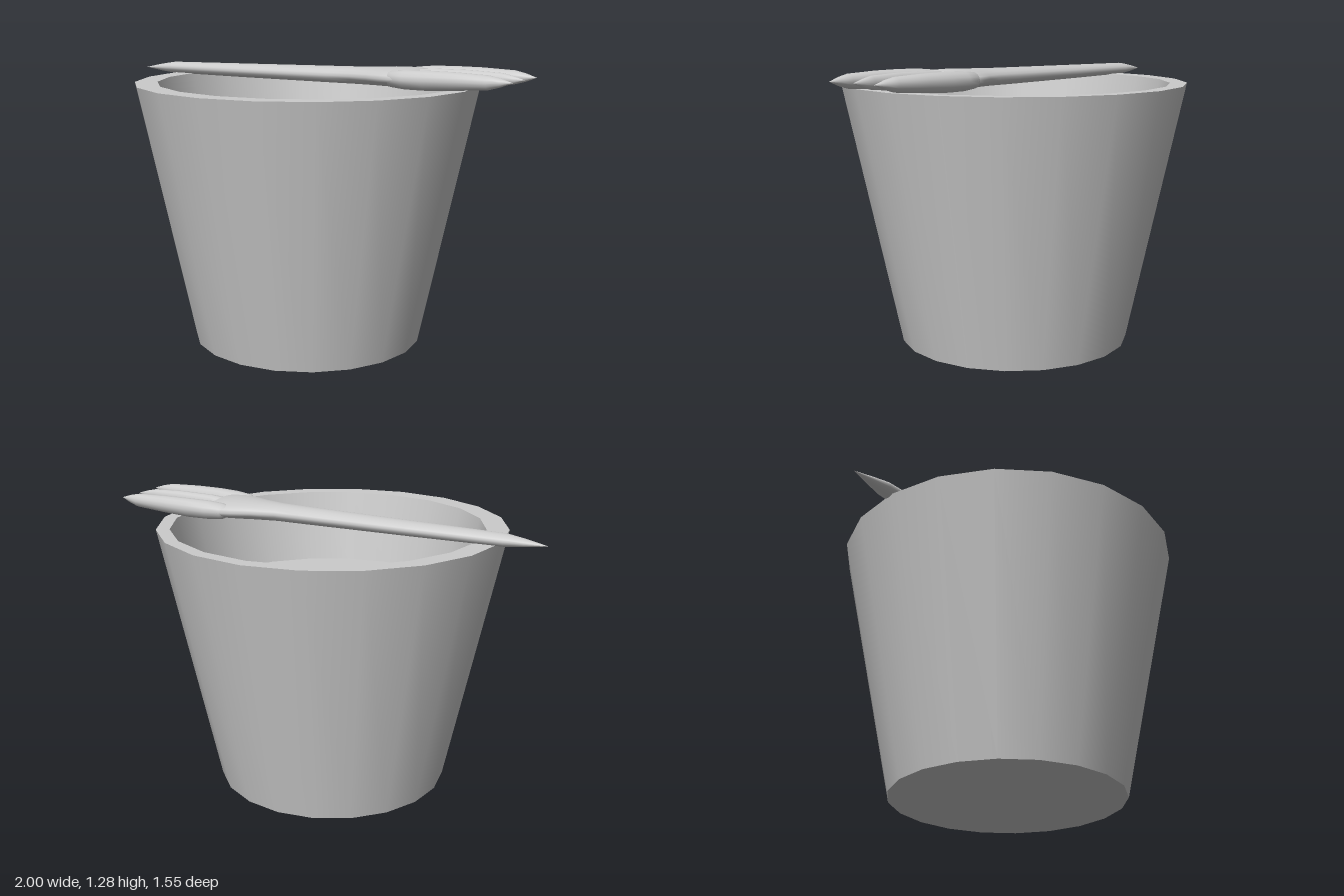
import * as THREE from 'three';

const material = new THREE.MeshStandardMaterial({ color: 0xcccccc });
const SIDES = 20;

function mesh(name, geometry, parent) {
  const m = new THREE.Mesh(geometry, material);
  m.name = name;
  parent.add(m);
  return m;
}

// Regular polygon outline, lying in the xy plane
function polygon(r, cx, cy) {
  return Array.from({ length: SIDES }, (_, i) => {
    const a = (i / SIDES) * Math.PI * 2;
    return new THREE.Vector2(cx + r * Math.cos(a), cy + r * Math.sin(a));
  });
}

// Smooth wall between two radii, facing outward when listed upward
function wall(r0, y0, r1, y1) {
  return new THREE.LatheGeometry([new THREE.Vector2(r0, y0), new THREE.Vector2(r1, y1)], SIDES);
}

// Rounded bar along x through elliptical sections [x, y, z, halfHeight, halfWidth]
function loft(sections, sides = 14) {
  const pos = [], index = [];
  sections.forEach(([x, y, z, hy, hz], i) => {
    for (let j = 0; j < sides; j++) {
      const a = (j / sides) * Math.PI * 2;
      pos.push(x, y + hy * Math.sin(a), z + hz * Math.cos(a));
      if (i === sections.length - 1) continue;
      const p = i * sides + j, q = i * sides + ((j + 1) % sides);
      index.push(p, p + sides, q, q, p + sides, q + sides);
    }
  });
  const g = new THREE.BufferGeometry();
  g.setAttribute('position', new THREE.Float32BufferAttribute(pos, 3));
  g.setIndex(index);
  g.computeVertexNormals();
  return g;
}

function createCup() {
  const cup = new THREE.Group();
  cup.name = 'cup';
  const H = 1.19, FLOOR = 0.86, OX = -0.015, IZ = -0.015;

  mesh('outerWall', wall(0.527, 0, 0.777, H), cup).position.x = OX;
  mesh('innerWall', wall(0.697, H, 0.63, FLOOR), cup).position.z = IZ;

  // Flat rim, with the opening slightly off centre
  const rim = new THREE.Shape(polygon(0.777, OX, 0));
  rim.holes.push(new THREE.Path(polygon(0.697, 0, -IZ)));
  mesh('rim', new THREE.ShapeGeometry(rim).rotateX(-Math.PI / 2), cup).position.y = H;

  // Surface inside and base underneath
  mesh('innerFloor', new THREE.CircleGeometry(0.63, SIDES).rotateX(-Math.PI / 2), cup)
    .position.set(0, FLOOR, IZ);
  mesh('base', new THREE.CircleGeometry(0.527, SIDES).rotateX(Math.PI / 2), cup).position.x = OX;
  return cup;
}

function createFork() {
  const fork = new THREE.Group();
  fork.name = 'fork';

  // Handle flaring into the head
  mesh('handleAndHead', loft([
    [-1, 1.205, -0.017, 0, 0],
    [-0.9, 1.209, -0.02, 0.017, 0.024],
    [-0.82, 1.212, -0.022, 0.027, 0.042],
    [-0.4, 1.217, -0.032, 0.032, 0.055],
    [0.1, 1.224, -0.044, 0.037, 0.069],
    [0.22, 1.226, -0.046, 0.038, 0.073],
    [0.32, 1.228, -0.05, 0.04, 0.105],
    [0.4, 1.23, -0.054, 0.042, 0.143],
    [0.46, 1.231, -0.056, 0.042, 0.16],
    [0.52, 1.232, -0.056, 0.038, 0.158],
    [0.545, 1.232, -0.056, 0.025, 0.145],
    [0.55, 1.232, -0.056, 0, 0],
  ], 18), fork);

  // Two outer tines, mirrored about the middle one
  for (const side of [-1, 1]) {
    const z = (d) => -0.058 + side * d;
    mesh(side < 0 ? 'rightTine' : 'leftTine', loft([
      [0.38, 1.23, z(0.09), 0, 0],
      [0.45, 1.231, z(0.113), 0.035, 0.042],
      [0.52, 1.232, z(0.12), 0.041, 0.05],
      [0.62, 1.234, z(0.13), 0.042, 0.044],
      [0.75, 1.238, z(0.133), 0.038, 0.04],
      [0.9, 1.241, z(0.132), 0.03, 0.034],
      [0.95, 1.243, z(0.13), 0.018, 0.019],
      [1, 1.245, z(0.128), 0, 0],
    ]), fork);
  }

  mesh('middleTine', loft([
    [0.45, 1.231, -0.06, 0, 0],
    [0.5, 1.232, -0.06, 0.034, 0.034],
    [0.58, 1.233, -0.06, 0.04, 0.031],
    [0.75, 1.238, -0.061, 0.037, 0.027],
    [0.9, 1.242, -0.062, 0.028, 0.022],
    [0.95, 1.243, -0.063, 0.016, 0.013],
    [0.995, 1.245, -0.063, 0, 0],
  ]), fork);
  return fork;
}

export function createModel() {
  const model = new THREE.Group();
  model.name = 'cupWithFork';
  model.add(createCup(), createFork());
  return model;
}
